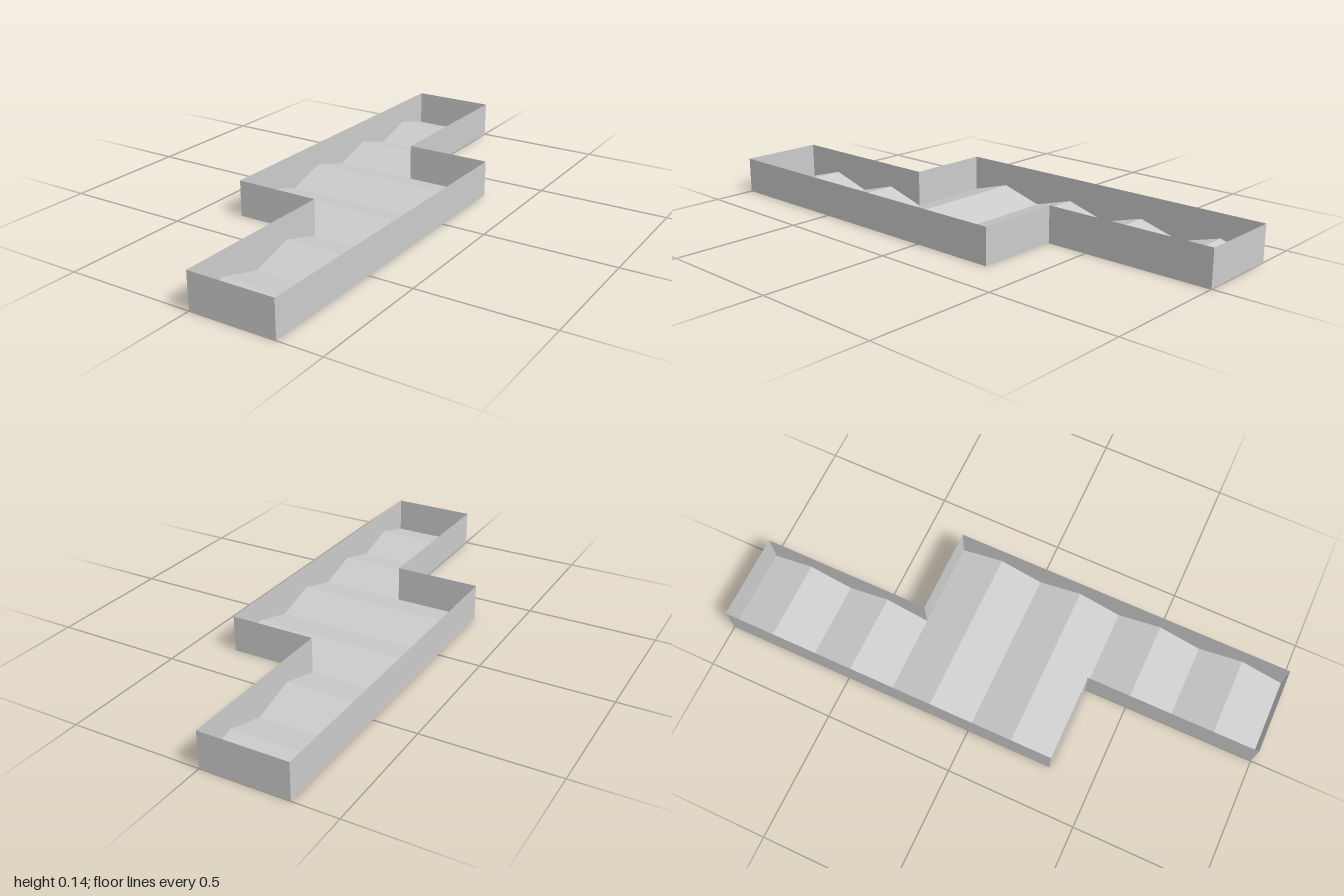
import * as THREE from 'three';
import { mergeGeometries } from 'three/addons/utils/BufferGeometryUtils.js';

const T = 1 / 3;            // grid module: tray arm width and ridge spacing
const WALL = 0.14;          // wall height
const RIDGE = 0.048;        // ridge height

// Stepped outline of the tray in plan, as [x, z]
const OUTLINE = [
  [-T, -1], [0, -1], [0, -T], [T, -T],
  [T, 1], [0, 1], [0, T], [-T, T],
];

export function createModel() {
  const group = new THREE.Group();
  const material = new THREE.MeshStandardMaterial({
    color: 0xcccccc, flatShading: true, side: THREE.DoubleSide,
  });
  const add = (name, geometry) => {
    const mesh = new THREE.Mesh(geometry, material);
    mesh.name = name;
    group.add(mesh);
  };

  // Flat underside
  const shape = new THREE.Shape(OUTLINE.map(([x, z]) => new THREE.Vector2(x, z)));
  add('base', new THREE.ShapeGeometry(shape).rotateX(Math.PI / 2));

  // Thin upright walls, one per outline edge, facing outward
  const walls = OUTLINE.map(([x0, z0], i) => {
    const [x1, z1] = OUTLINE[(i + 1) % OUTLINE.length];
    return new THREE.PlaneGeometry(Math.hypot(x1 - x0, z1 - z0), WALL)
      .rotateY(Math.atan2(z1 - z0, x0 - x1))
      .translate((x0 + x1) / 2, WALL / 2, (z0 + z1) / 2);
  });
  add('walls', mergeGeometries(walls));

  // Zigzag floor: six ridges, the middle two spanning both arms
  const ridges = [];
  for (let i = 0; i < 6; i++) {
    const left = i < 4 ? -T : 0;
    const right = i < 2 ? 0 : T;
    const ridge = new THREE.PlaneGeometry(right - left, T, 1, 2).rotateX(-Math.PI / 2);
    const pos = ridge.attributes.position;
    for (let v = 0; v < pos.count; v++) {
      pos.setY(v, Math.abs(pos.getZ(v)) < 0.01 ? RIDGE : 0.0005);
    }
    ridge.translate((left + right) / 2, 0, -1 + (i + 0.5) * T);
    ridge.computeVertexNormals();
    ridges.push(ridge);
  }
  add('ridgedFloor', mergeGeometries(ridges));

  return group;
}
